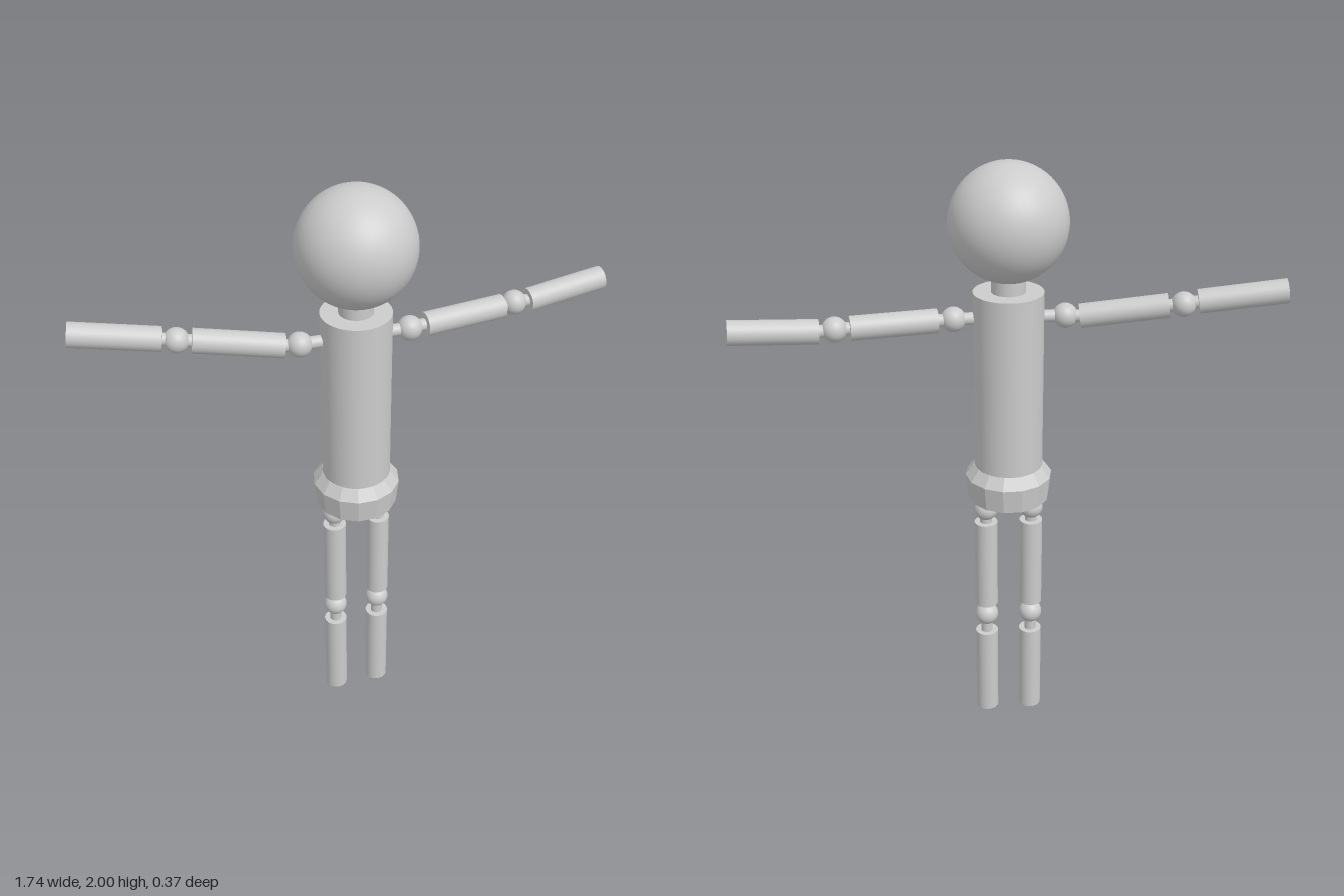
import * as THREE from 'three';

const LIMB_R = 0.039, JOINT_R = 0.04, PIN_R = 0.02;

export function createModel() {
  const model = new THREE.Group();
  const material = new THREE.MeshStandardMaterial({ color: 0xcccccc });

  const add = (name, geometry, position, parent = model) => {
    const mesh = new THREE.Mesh(geometry, material);
    mesh.name = name;
    mesh.position.copy(position);
    parent.add(mesh);
    return mesh;
  };
  const v = (x, y, z = 0) => new THREE.Vector3(x, y, z);

  // Capped rod running from a to b
  const rod = (name, a, b, radius, parent) => {
    const dir = b.clone().sub(a);
    const mesh = add(name, new THREE.CylinderGeometry(radius, radius, dir.length(), 32),
      a.clone().add(b).multiplyScalar(0.5), parent);
    mesh.quaternion.setFromUnitVectors(v(0, 1, 0), dir.normalize());
  };
  const ball = (name, p, radius, parent) => add(name, new THREE.SphereGeometry(radius, 32, 24), p, parent);

  // Limb: root pin, ball, upper segment, ball, lower segment, with thin pins between
  const limb = (name, names, root, joint1, upperA, upperB, joint2, lowerA, lowerB) => {
    const group = new THREE.Group();
    group.name = name;
    model.add(group);
    rod(names[0] + 'Pin', root, joint1, PIN_R, group);
    ball(names[0] + 'Joint', joint1, JOINT_R, group);
    rod(names[0] + 'LowerPin', joint1, upperA, PIN_R, group);
    rod(names[1], upperA, upperB, LIMB_R, group);
    rod(names[2] + 'UpperPin', upperB, joint2, PIN_R, group);
    ball(names[2] + 'Joint', joint2, JOINT_R, group);
    rod(names[2] + 'LowerPin', joint2, lowerA, PIN_R, group);
    rod(names[3], lowerA, lowerB, LIMB_R, group);
  };

  // Head, neck and torso
  add('head', new THREE.SphereGeometry(0.187, 48, 32), v(0, 1.813));
  rod('neck', v(0, 1.57), v(0, 1.68), 0.055);
  rod('torso', v(0, 0.95), v(0, 1.592), 0.113);

  // Faceted pelvis: tapered block with a bevelled rim on top
  const facets = (top, bottom, height) => {
    const g = new THREE.CylinderGeometry(top, bottom, height, 14).rotateY(Math.PI / 2).toNonIndexed();
    g.computeVertexNormals();
    return g;
  };
  add('pelvis', facets(0.144, 0.135, 0.083), v(0, 0.9135));
  add('pelvisRim', facets(0.116, 0.144, 0.037), v(0, 0.9735));

  // Legs
  for (const side of [1, -1]) {
    const x = 0.077 * side;
    limb(side > 0 ? 'leftLeg' : 'rightLeg', ['hip', 'thigh', 'knee', 'shin'],
      v(x, 0.89), v(x, 0.82), v(x, 0.77), v(x, 0.443), v(x, 0.396), v(x, 0.327), v(x, 0));
  }

  // Arms, swept back and posed differently on each side
  const armNames = ['shoulder', 'upperArm', 'elbow', 'forearm'];
  limb('leftArm', armNames, v(0.09, 1.506), v(0.174, 1.506),
    v(0.225, 1.506, -0.008), v(0.498, 1.506, -0.047), v(0.544, 1.508, -0.056),
    v(0.593, 1.505, -0.062), v(0.865, 1.526, -0.1));
  limb('rightArm', armNames, v(-0.09, 1.506), v(-0.18, 1.506),
    v(-0.227, 1.505, -0.008), v(-0.502, 1.545, -0.05), v(-0.547, 1.55, -0.057),
    v(-0.592, 1.559, -0.062), v(-0.865, 1.598, -0.1));

  return model;
}
